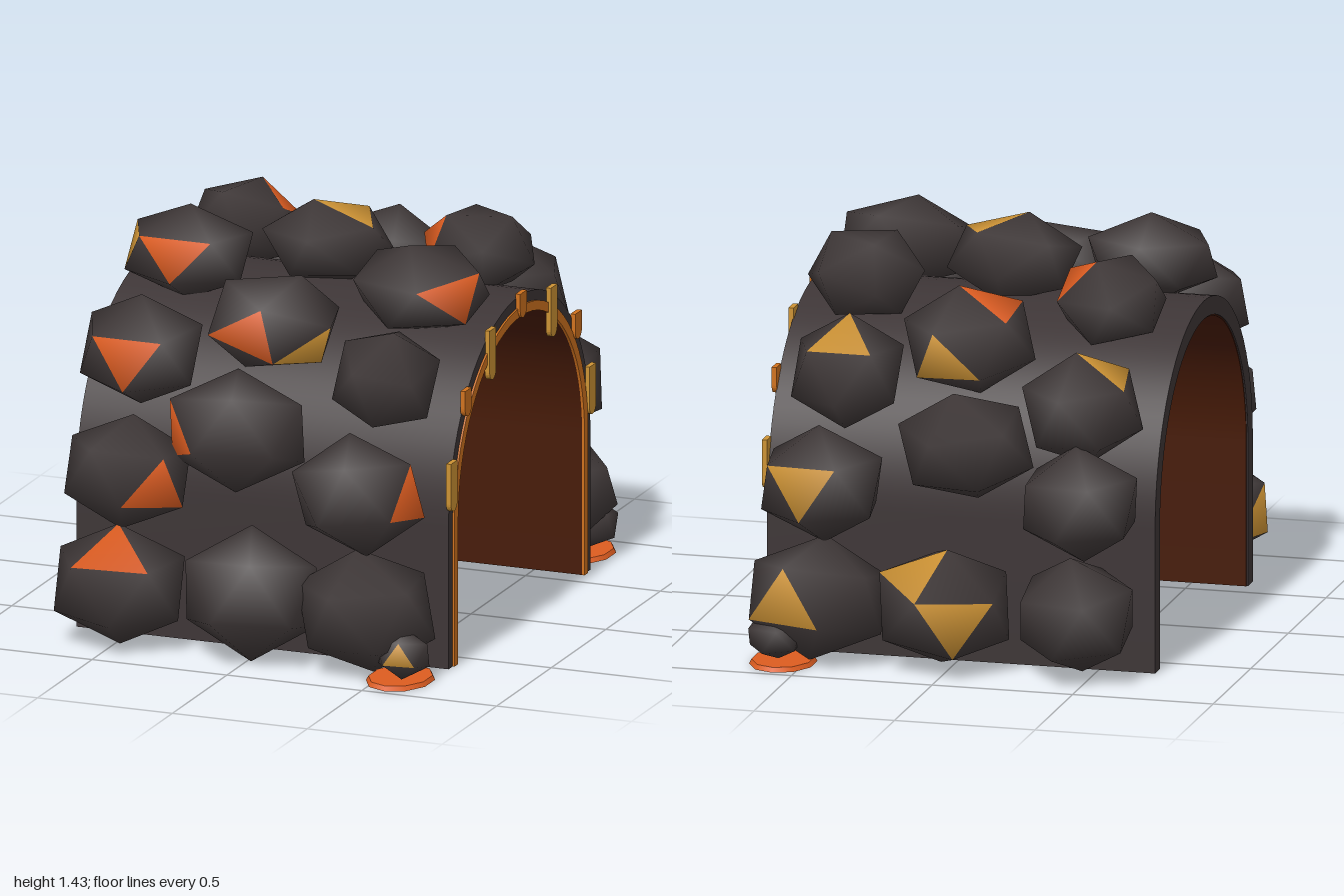
import * as THREE from 'three';
import { mergeVertices, toCreasedNormals } from 'three/addons/utils/BufferGeometryUtils.js';

const SPRING = 0.51; // height where the straight walls turn into the arch
const RADIUS = 0.78; // arch radius along which the boulders sit
const mat = (name, color) => new THREE.MeshStandardMaterial({ name, color });

// Arch-shaped ring, extruded along x
function archGeometry(R, r, x0, x1) {
  const s = new THREE.Shape();
  s.moveTo(R, 0);
  s.lineTo(R, SPRING);
  s.absarc(0, SPRING, R, 0, Math.PI, false);
  s.lineTo(-R, 0);
  s.lineTo(-r, 0);
  s.lineTo(-r, SPRING);
  s.absarc(0, SPRING, r, Math.PI, 0, true);
  s.lineTo(r, 0);
  const g = new THREE.ExtrudeGeometry(s, { depth: x1 - x0, bevelEnabled: false, curveSegments: 18 });
  g.rotateY(Math.PI / 2).translate(x0, 0, 0);
  return toCreasedNormals(g, 0.5);
}

// Hanging tab with a rounded lower end
function tabGeometry(top, bottom) {
  const w = 0.03;
  const s = new THREE.Shape();
  s.moveTo(w, top);
  s.lineTo(-w, top);
  s.lineTo(-w, bottom + w);
  s.absarc(0, bottom + w, w, Math.PI, Math.PI * 2, false);
  const g = new THREE.ExtrudeGeometry(s, { depth: 0.018, bevelEnabled: false, curveSegments: 6 });
  return g.rotateY(Math.PI / 2);
}

// Coloured facet: clock is its bearing (0 along the arch, 90 towards +x), tilt its
// lean away from the outward direction, tip the bearing of its corner
const facet = (material) => (clock, tilt, tip = 0) => ({ material, clock, tilt, tip });
const plain = facet(0), ember = facet(1), gold = facet(2);

// Right-handed frame from a normal and a roughly perpendicular tip direction
function frame(n, tip) {
  const t = tip.clone().addScaledVector(n, -tip.dot(n)).normalize();
  return new THREE.Matrix4().makeBasis(t, n.clone().cross(t), n);
}

// Twenty-sided boulder, turned so that its first facet is an exact face
function boulderGeometry(length, height, depth, out, facets) {
  let g = new THREE.IcosahedronGeometry(1, 0);
  g.deleteAttribute('uv');
  g.deleteAttribute('normal');
  g = mergeVertices(g, 1e-3);
  const p = g.attributes.position;
  const idx = Array.from(g.index.array);
  const corner = (i) => new THREE.Vector3().fromBufferAttribute(p, i);
  const centre = (f) => corner(idx[f * 3]).add(corner(idx[f * 3 + 1])).add(corner(idx[f * 3 + 2])).normalize();

  const along = new THREE.Vector3(0, out.z, -out.y);
  const direction = (clock, tilt) => {
    const c = THREE.MathUtils.degToRad(clock), t = THREE.MathUtils.degToRad(tilt);
    const side = along.clone().multiplyScalar(Math.cos(c)).add(new THREE.Vector3(Math.sin(c), 0, 0));
    return out.clone().multiplyScalar(Math.cos(t)).addScaledVector(side, Math.sin(t));
  };
  const [first] = facets;
  const target = frame(direction(first.clock, first.tilt), direction(first.tip, 90));
  g.applyMatrix4(target.multiply(frame(centre(0), corner(idx[0])).transpose()));

  // Tint the face nearest to each facet direction
  const tint = new Array(20).fill(0);
  for (const { material, clock, tilt } of facets) {
    const d = direction(clock, tilt);
    let best = 0;
    for (let i = 1; i < 20; i++) if (centre(i).dot(d) > centre(best).dot(d)) best = i;
    tint[best] = material;
  }

  // Stretch along x, along the arch and outwards
  for (let i = 0; i < p.count; i++) {
    const v = corner(i);
    const q = out.clone().multiplyScalar(v.dot(out) * depth).addScaledVector(along, v.dot(along) * height);
    p.setXYZ(i, v.x * length, q.y, q.z);
  }

  // One geometry group per colour
  const sorted = [];
  for (let m = 0; m < 3; m++) {
    const start = sorted.length;
    for (let f = 0; f < 20; f++) if (tint[f] === m) sorted.push(...idx.slice(f * 3, f * 3 + 3));
    if (sorted.length > start) g.addGroup(start, sorted.length - start, m);
  }
  g.setIndex(sorted);
  g.computeVertexNormals();
  return g;
}

// Point and outward direction at a distance along the arch path from its front foot
function archPoint(distance) {
  const u = distance - SPRING;
  const a = THREE.MathUtils.clamp(u / RADIUS, 0, Math.PI);
  const out = new THREE.Vector3(0, Math.sin(a), Math.cos(a));
  const pos = out.clone().multiplyScalar(0.8 - 0.035 * out.y);
  pos.addScaledVector(new THREE.Vector3(0, out.z, -out.y), u - a * RADIUS);
  pos.y += SPRING;
  return { pos, out };
}

export function createModel() {
  const model = new THREE.Group();
  const emberMat = mat('ember orange', 0xdc5c20);
  const goldMat = mat('gold', 0xcc9234);
  const amberMat = mat('amber', 0xd0721e);
  const rockMats = [mat('dark rock', 0x3d3636), emberMat, goldMat];

  const add = (name, geo, m, x = 0, y = 0, z = 0) => {
    const mesh = new THREE.Mesh(geo, m);
    mesh.name = name;
    mesh.position.set(x, y, z);
    model.add(mesh);
    return mesh;
  };

  // Tunnel wall, lining and rim
  add('tunnelWall', archGeometry(0.65, 0.585, -0.7, 0.68), mat('charcoal wall', 0x3d3536));
  add('tunnelLining', archGeometry(0.586, 0.58, -0.695, 0.679), mat('dark brown lining', 0x471b08));
  add('entranceRim', archGeometry(0.613, 0.579, 0.678, 0.687), amberMat);

  // Tabs around the entrance
  const tab = (z, top, bottom, m) => add('entranceTab', tabGeometry(top, bottom), m, 0.677, 0, z);
  tab(0, 1.175, 1.085, amberMat);
  for (const s of [1, -1]) {
    tab(s * 0.28, 1.12, 0.94, goldMat);
    tab(s * 0.505, 0.965, 0.87, amberMat);
    tab(s * 0.635, 0.74, 0.565, goldMat);
  }

  // Boulder at x and a distance along the arch, with half length and half height
  const rock = (x, distance, length, height, ...facets) => {
    const { pos, out } = archPoint(distance);
    const depth = 0.205 - 0.045 * out.y;
    const faces = facets.length ? facets : [plain(90, 15)];
    add('boulder', boulderGeometry(length * 1.05, height * 1.04, depth, out, faces), rockMats, x, pos.y, pos.z);
  };
  // Right column, front to back
  rock(-0.48, 0.22, 0.25, 0.21, ember(6, 50), gold(-65, 100));
  rock(-0.455, 0.62, 0.235, 0.195, ember(110, 52));
  rock(-0.48, 1.05, 0.23, 0.2, ember(180, 32, 180), ember(50, 85));
  rock(-0.465, 1.53, 0.24, 0.185, ember(180, 61, 180), gold(-115, 70));
  rock(-0.45, 2.04, 0.2, 0.18, ember(90, 47, -90));
  rock(-0.445, 2.52, 0.215, 0.2, gold(216, 63));
  rock(-0.47, 2.85, 0.22, 0.2);
  rock(-0.46, 3.24, 0.22, 0.205);
  // Middle column
  rock(0.01, 0.24, 0.26, 0.228);
  rock(-0.07, 0.8, 0.265, 0.205, ember(-108, 64));
  rock(-0.04, 1.22, 0.25, 0.19, ember(-167, 57, 20), gold(125, 80), ember(5, 90));
  rock(-0.03, 1.75, 0.235, 0.17, gold(90, 25, 10));
  rock(0, 2.28, 0.235, 0.205, ember(-139, 45, -10), gold(-12, 72));
  rock(-0.05, 2.68, 0.24, 0.195, ember(144, 84));
  rock(0.01, 3.24, 0.25, 0.215, gold(-74, 21), gold(149, 40));
  // Left column
  rock(0.435, 0.225, 0.255, 0.215, ember(95, 130));
  rock(0.4, 0.63, 0.24, 0.205, ember(90, 80), gold(-90, 80));
  rock(0.43, 1.04, 0.19, 0.19);
  rock(0.42, 1.47, 0.255, 0.185, ember(128, 72, 128));
  rock(0.44, 1.97, 0.21, 0.18, ember(-123, 80));
  rock(0.405, 2.44, 0.205, 0.2, gold(180, 20, 180), gold(-160, 73));
  rock(0.45, 2.84, 0.23, 0.2, gold(90, 11));
  rock(0.46, 3.24, 0.26, 0.21, gold(90, 23, 180));

  // Small stones on glowing pads beside the entrance
  for (const s of [1, -1]) {
    const face = s > 0 ? gold(90, 8) : plain(90, 20);
    const geo = boulderGeometry(0.108, 0.09, 0.09, new THREE.Vector3(0, 0, s), [face]);
    add('smallStone', geo, rockMats, 0.595, 0.105, s * 0.86);
    const pad = add('glowingPad', new THREE.CylinderGeometry(0.93, 1, 0.016, 10), emberMat, 0.575, 0.008, s * 0.83);
    pad.scale.set(0.115, 1, 0.15);
  }
  return model;
}
